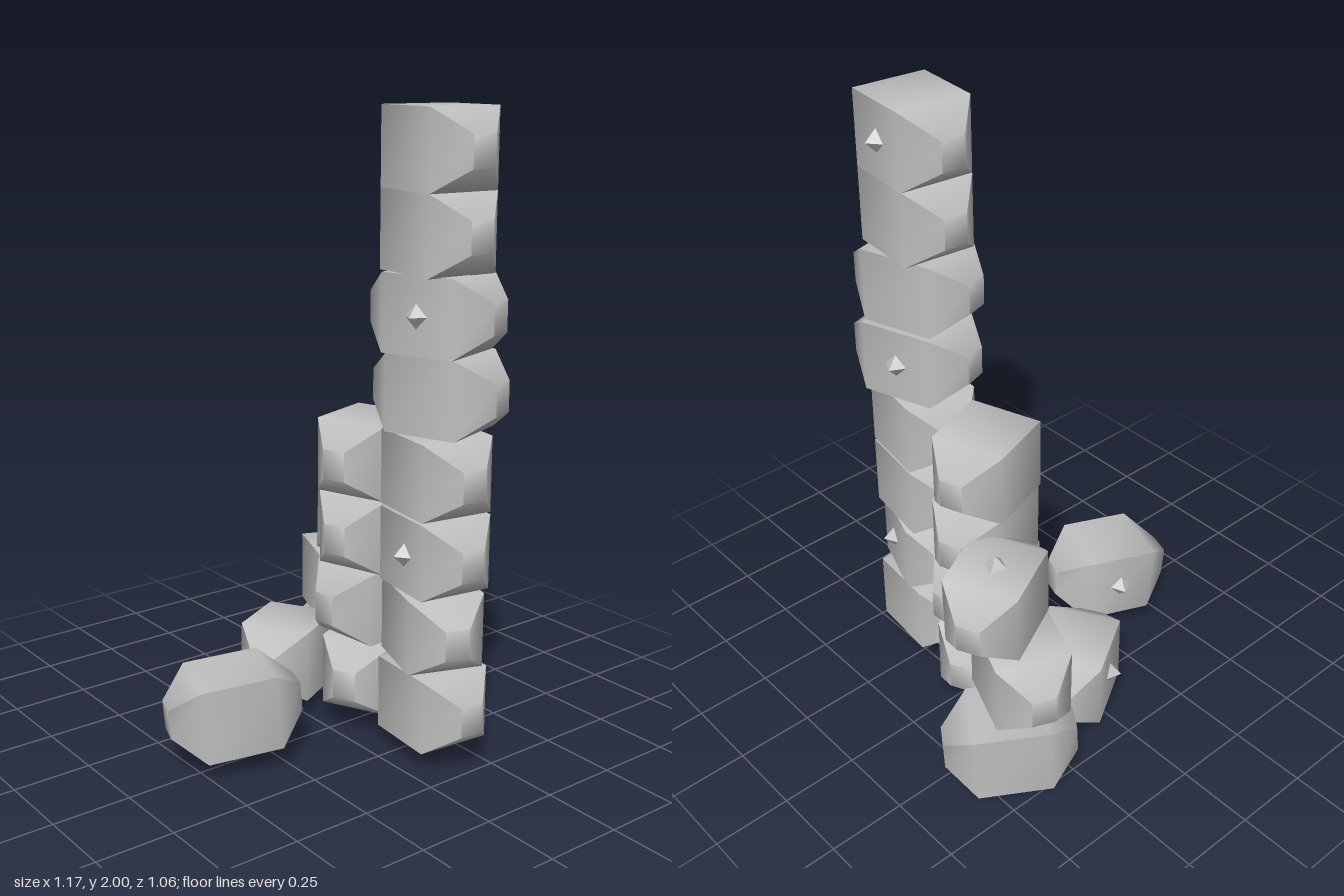
import * as THREE from 'three';
import { toCreasedNormals } from 'three/addons/utils/BufferGeometryUtils.js';

const LENGTH = 0.42, HEIGHT = 0.237, WIDTH = 0.242;

// Block with a straight middle and both ends tapering to a small face
function blockGeometry() {
  const box = new THREE.BoxGeometry(LENGTH, HEIGHT, WIDTH, 3, 1, 1);
  const p = box.attributes.position;
  for (let i = 0; i < p.count; i++) {
    const x = p.getX(i);
    if (Math.abs(x) > LENGTH * 0.4) {
      p.setY(i, p.getY(i) * 0.4);
      p.setZ(i, p.getZ(i) * 0.32);
    } else {
      p.setX(i, Math.sign(x) * 0.118);
    }
  }
  // Soft shading over the tapered ends, sharp along the long edges
  return toCreasedNormals(box, Math.PI / 3);
}

export function createModel() {
  const model = new THREE.Group();
  const stone = new THREE.MeshStandardMaterial({ color: 0xbfbfbf });
  stone.name = 'light grey stone';
  const block = blockGeometry();
  const studShape = new THREE.OctahedronGeometry(0.037);

  // yaw turns the long axis away from +x; stud: side ('left', 'right', 'top') and shift along the block
  function addStone(name, [x, y, z], yaw, roll = 0, stud = null) {
    const group = new THREE.Group();
    group.name = name;
    const body = new THREE.Mesh(block, stone);
    body.name = name + 'Block';
    group.add(body);
    if (stud) {
      const [side, shift] = stud;
      const mesh = new THREE.Mesh(studShape, stone);
      mesh.name = name + 'Stud';
      if (side === 'top') mesh.position.set(shift, HEIGHT / 2, 0);
      else mesh.position.set(shift, 0, (side === 'right' ? 1 : -1) * WIDTH / 2);
      group.add(mesh);
    }
    group.position.set(x, y, z);
    group.rotation.set(0, yaw, roll);
    model.add(group);
  }

  // Tall front column, blocks pointing forward: x, y, turn, stud
  const column = [
    [0.165, 0.185, -0.1],
    [0.16, 0.44, -0.35, ['left', 0.02]],
    [0.165, 0.68, -0.15, ['right', 0.02]],
    [0.165, 0.925, -0.16],
    [0.175, 1.17, 0.32, ['left', 0]],
    [0.16, 1.41, 0.3, ['right', 0]],
    [0.155, 1.645, -0.1],
    [0.155, 1.88, -0.1, ['left', 0]],
  ];
  column.forEach(([x, y, turn, stud], i) =>
    addStone('columnStone' + (i + 1), [x, y, 0.31], turn - Math.PI / 2, 0, stud));

  // Middle stack, blocks lying crosswise
  addStone('middleStone1', [0.18, 0.185, -0.005], 0.45, 0, ['right', 0.07]);
  addStone('middleStone2', [0.17, 0.435, 0], 0.1);
  addStone('middleStone3', [0.175, 0.67, -0.005], 0.3);
  addStone('middleStone4', [0.175, 0.91, -0.015], 0.32);

  // Low rear stack
  addStone('rearStone1', [0.39, 0.127, -0.355], -0.6, -0.05);
  addStone('rearStone2', [0.32, 0.37, -0.33], -0.38 - Math.PI / 2);
  addStone('rearStone3', [0.345, 0.62, -0.25], 0.45, -0.04, ['top', 0]);

  // Loose stones beside the stacks
  addStone('looseRearStone', [0.04, 0.17, -0.28], 0.53, -0.04, ['left', 0]);
  addStone('looseSideStone', [-0.373, 0.19, -0.005], -0.33, 0.08, ['left', 0]);

  return model;
}
